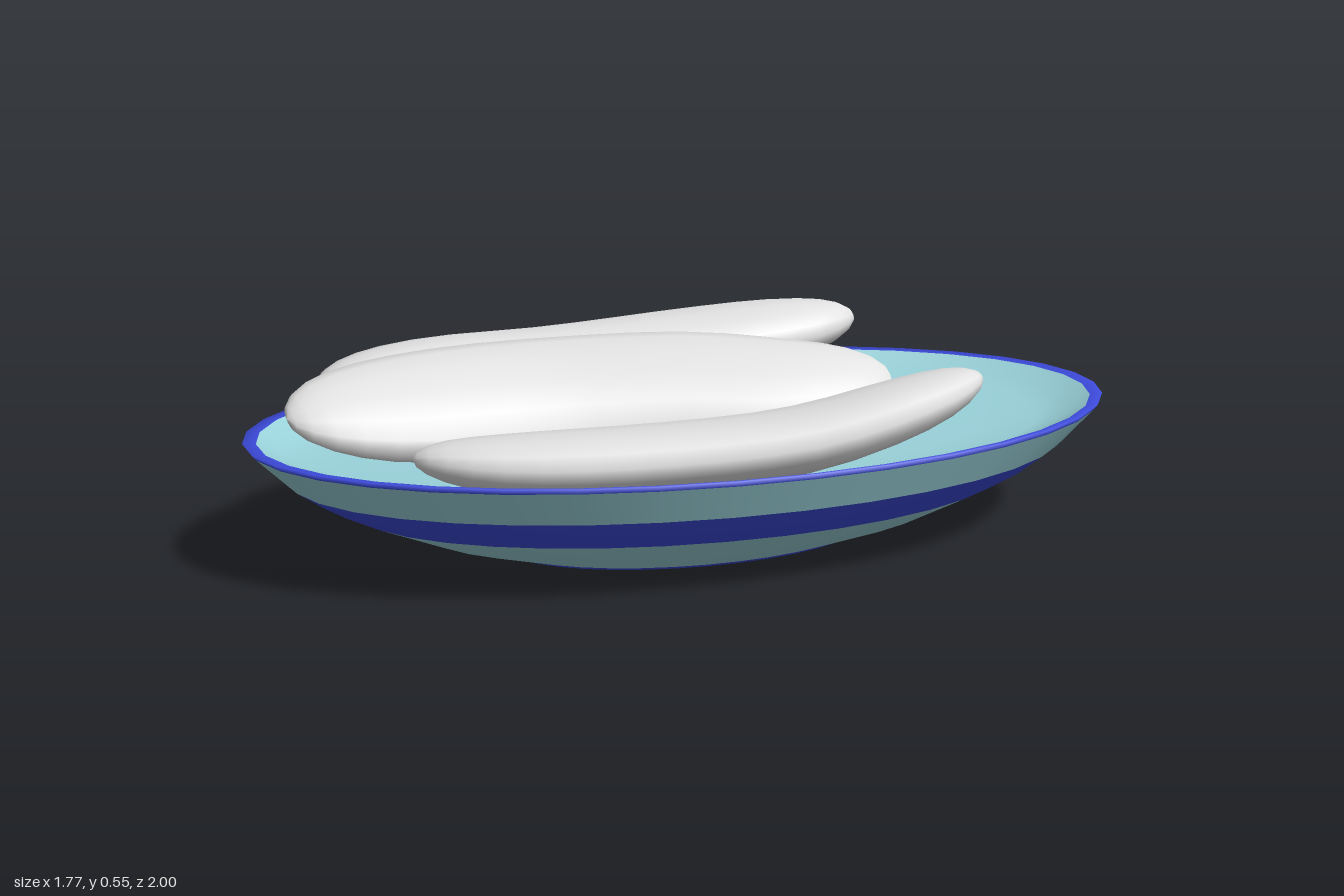
import * as THREE from 'three';

const teal = new THREE.MeshStandardMaterial({ name: 'pale teal glaze', color: 0x9ad2da });
const blue = new THREE.MeshStandardMaterial({ name: 'blue glaze', color: 0x3c4ada });
const white = new THREE.MeshStandardMaterial({ name: 'pale fruit skin', color: 0xe2e2e2 });

// One band of the oval dish: a lathe stretched to an ellipse and turned diagonally
function dishBand(name, material, profile) {
  const geo = new THREE.LatheGeometry(profile.map(([r, y]) => new THREE.Vector2(r, y)), 36);
  geo.scale(1.195, 1, 0.595);
  geo.rotateY(0.89);
  const mesh = new THREE.Mesh(geo, material);
  mesh.name = name;
  return mesh;
}

// Plump curved fruit: oval cross-sections, rolled by tilt, swept along a path with blunt rounded ends
function fruit(name, path, width, height, tilt) {
  const curve = new THREE.CatmullRomCurve3(path.map(p => new THREE.Vector3(...p)));
  const rings = 20, sides = 14, pos = [], index = [];
  const up = new THREE.Vector3(0, 1, 0);
  for (let i = 0; i <= rings; i++) {
    const t = (1 - Math.cos(Math.PI * i / rings)) / 2;
    const c = curve.getPointAt(t);
    const tangent = curve.getTangentAt(t);
    const side = new THREE.Vector3().crossVectors(up, tangent).normalize();
    side.applyAxisAngle(tangent, tilt);
    const lift = new THREE.Vector3().crossVectors(tangent, side);
    const r = Math.max(Math.sqrt(Math.max(0, 1 - Math.pow(Math.abs(2 * t - 1), 3.7))), 0.01);
    for (let j = 0; j < sides; j++) {
      const a = 2 * Math.PI * j / sides;
      const v = c.clone()
        .addScaledVector(side, Math.cos(a) * r * width)
        .addScaledVector(lift, Math.sin(a) * r * height);
      pos.push(v.x, v.y, v.z);
      if (i < rings) {
        const k = (j + 1) % sides, p = i * sides, q = p + sides;
        index.push(p + j, p + k, q + j, p + k, q + k, q + j);
      }
    }
  }
  const geo = new THREE.BufferGeometry();
  geo.setAttribute('position', new THREE.Float32BufferAttribute(pos, 3));
  geo.setIndex(index);
  geo.computeVertexNormals();
  const mesh = new THREE.Mesh(geo, white);
  mesh.name = name;
  return mesh;
}

export function createModel() {
  const model = new THREE.Group();
  model.name = 'dishOfFruit';

  // Dish, from the underside up the wall, over the rim and down the shallow inside
  model.add(
    dishBand('baseCentre', teal, [[0, 0.004], [0.28, 0.004]]),
    dishBand('footRing', blue, [[0.28, 0.004], [0.29, 0], [0.425, 0], [0.435, 0.007]]),
    dishBand('lowerWall', teal, [[0.435, 0.007], [0.61, 0.065], [0.77, 0.145]]),
    dishBand('wallStripe', blue, [[0.77, 0.145], [0.845, 0.19], [0.905, 0.24]]),
    dishBand('upperWall', teal, [[0.905, 0.24], [0.99, 0.342]]),
    dishBand('rim', blue, [[0.99, 0.342], [1, 0.357], [0.97, 0.354]]),
    dishBand('inside', teal, [[0.97, 0.354], [0.91, 0.322], [0.84, 0.303], [0.7, 0.296], [0.3, 0.292], [0, 0.29]]),
  );

  // Three fruits lying side by side
  model.add(
    fruit('rightFruit', [
      [0.06, 0.485, -0.725], [-0.07, 0.46, -0.52], [-0.26, 0.43, -0.29],
      [-0.47, 0.415, 0.03], [-0.63, 0.425, 0.3], [-0.74, 0.45, 0.65]], 0.18, 0.1, 0),
    fruit('middleFruit', [
      [-0.575, 0.46, 0.93], [-0.47, 0.435, 0.65], [-0.3, 0.42, 0.31],
      [-0.04, 0.42, 0.01], [0.2, 0.41, -0.21], [0.375, 0.42, -0.45]], 0.213, 0.095, 0.42),
    fruit('leftFruit', [
      [-0.255, 0.385, 0.805], [-0.08, 0.36, 0.63], [0.18, 0.355, 0.345],
      [0.43, 0.38, 0.06], [0.59, 0.44, -0.17], [0.7, 0.5, -0.375]], 0.188, 0.088, -0.2),
  );
  return model;
}
